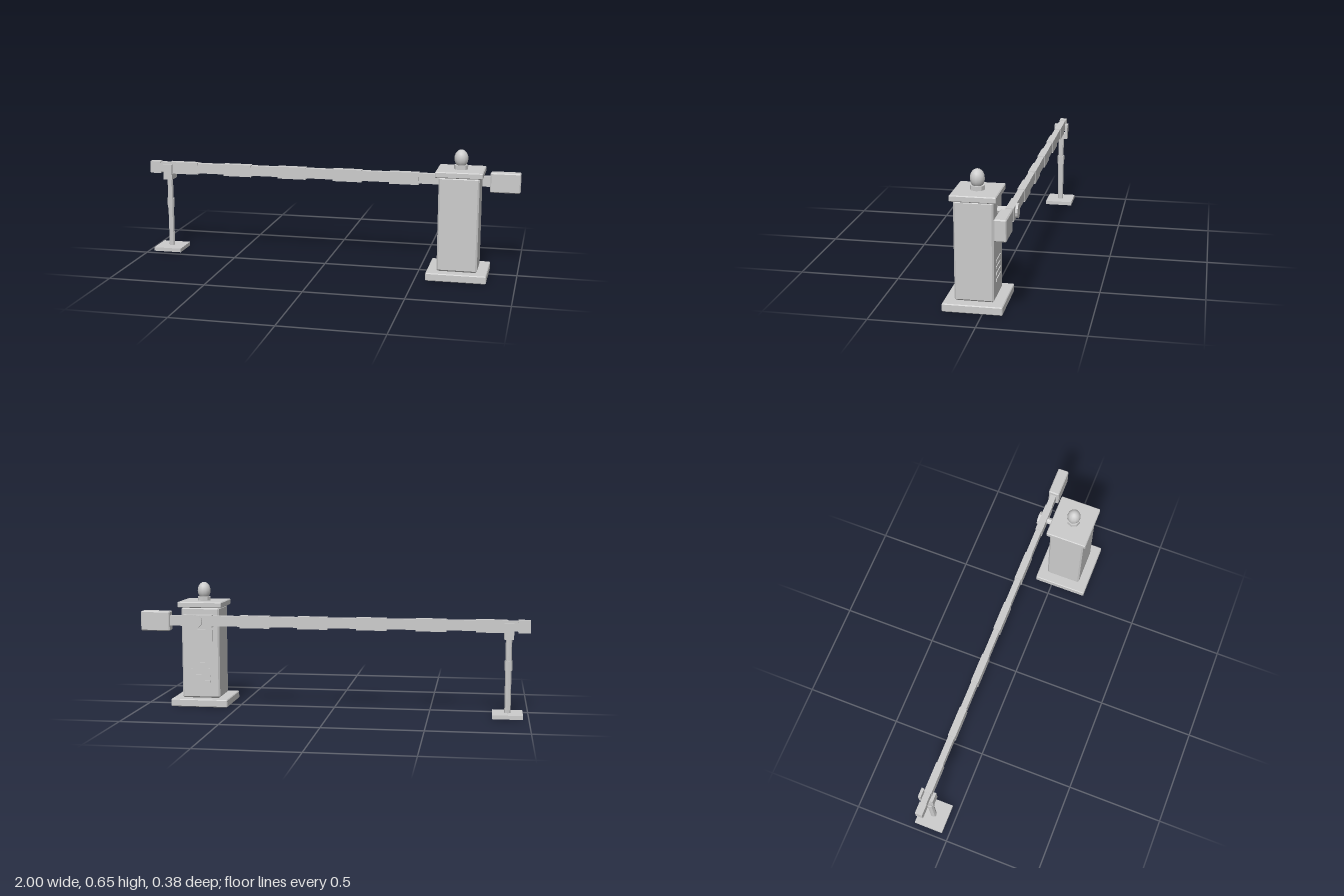
import * as THREE from 'three';
import { ConvexGeometry } from 'three/addons/geometries/ConvexGeometry.js';

const flat = new THREE.MeshStandardMaterial({ color: 0xcccccc, flatShading: true });
const smooth = new THREE.MeshStandardMaterial({ color: 0xcccccc });

function add(parent, name, geometry, x, y, z, material = flat) {
  const mesh = new THREE.Mesh(geometry, material);
  mesh.name = name;
  mesh.position.set(x, y, z);
  parent.add(mesh);
  return mesh;
}

// Box with every edge cut by a 45 degree chamfer
function chamferBox(w, h, d, c) {
  const points = [];
  for (const sx of [-1, 1]) for (const sy of [-1, 1]) for (const sz of [-1, 1]) {
    for (let axis = 0; axis < 3; axis++) {
      const inset = [c, c, c];
      inset[axis] = 0;
      points.push(new THREE.Vector3(
        sx * (w / 2 - inset[0]), sy * (h / 2 - inset[1]), sz * (d / 2 - inset[2])));
    }
  }
  return new ConvexGeometry(points);
}

const box = (w, h, d) => new THREE.BoxGeometry(w, h, d);
const rod = (r, h, sides = 8) => new THREE.CylinderGeometry(r, r, h, sides);

function createCabinet() {
  const g = new THREE.Group();
  g.name = 'cabinet';
  g.position.set(0.706, 0, 0.048);
  add(g, 'cabinetBase', chamferBox(0.302, 0.04, 0.284, 0.004), 0, 0.02, 0);
  add(g, 'cabinetBody', chamferBox(0.202, 0.48, 0.186, 0.008), 0, 0.28, 0);
  add(g, 'cabinetCap', chamferBox(0.235, 0.03, 0.216, 0.004), 0, 0.535, 0);

  // Warning lamp
  add(g, 'lampCollar', rod(0.035, 0.022), 0, 0.56, 0);
  add(g, 'lampDome', new THREE.SphereGeometry(0.035, 12, 10), 0, 0.603, 0, smooth).scale.y = 1.28;

  // Plate and vent slats on the back
  add(g, 'backPlate', box(0.13, 0.06, 0.008), 0, 0.374, -0.095);
  for (let i = 0; i < 4; i++) {
    add(g, 'ventSlat', box(0.1, 0.011, 0.008), 0, 0.13 + i * 0.031, -0.093);
  }
  return g;
}

function createArm() {
  const g = new THREE.Group();
  g.name = 'barrierArm';
  g.position.set(0, 0.458, -0.113);
  add(g, 'armBar', box(1.84, 0.053, 0.031), -0.07, 0.002, 0);

  // Thicker bands along the bar
  for (let i = 0; i < 6; i++) {
    add(g, 'armBand', box(0.155, 0.064, 0.037), -0.808 + i * 0.3015, 0, 0);
  }
  add(g, 'armTip', box(0.06, 0.064, 0.037), -0.97, 0, 0);
  add(g, 'counterweight', chamferBox(0.153, 0.102, 0.057, 0.005), 0.92, -0.001, 0.001);

  // Pivot axle with its hub on the far side
  add(g, 'pivotAxle', rod(0.018, 0.08), 0.706, 0, 0.04).rotation.x = Math.PI / 2;
  add(g, 'pivotHub', rod(0.035, 0.014, 12), 0.706, 0, -0.023).rotation.x = Math.PI / 2;
  return g;
}

function createRest() {
  const g = new THREE.Group();
  g.name = 'armRest';
  g.position.set(-0.895, 0, -0.113);
  add(g, 'restBase', box(0.152, 0.02, 0.152), 0, 0.01, 0);
  add(g, 'restPost', rod(0.016, 0.38), 0, 0.208, 0);
  add(g, 'postSleeve', rod(0.02, 0.05), 0, 0.26, 0);

  // Fork that carries the arm
  add(g, 'forkBottom', box(0.048, 0.03, 0.077), 0, 0.41, 0);
  for (const s of [-1, 1]) {
    add(g, 'forkProng', box(0.048, 0.082, 0.014), 0, 0.436, s * 0.0315);
  }
  return g;
}

export function createModel() {
  const model = new THREE.Group();
  model.name = 'barrierGate';
  model.add(createCabinet(), createArm(), createRest());
  return model;
}
